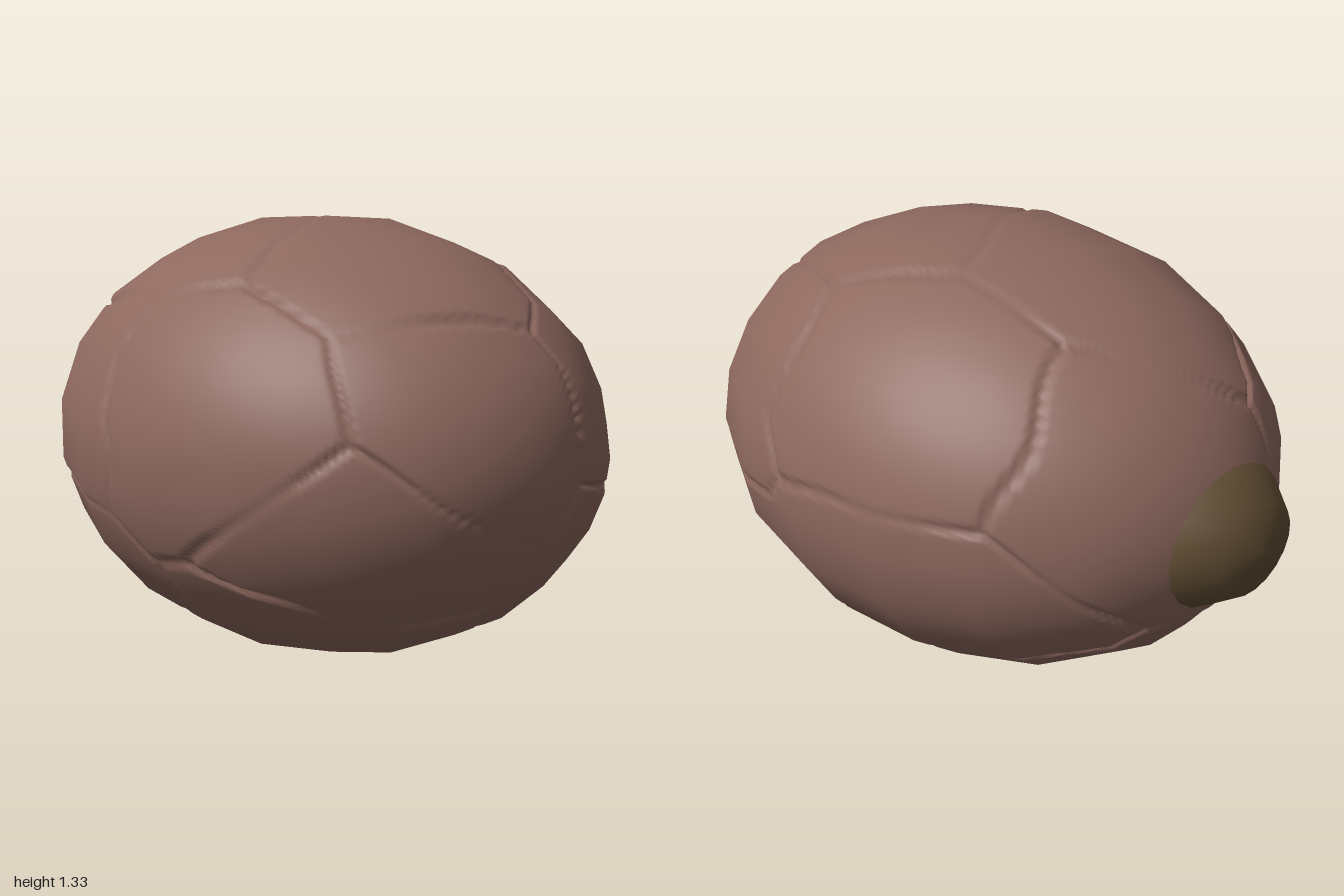
import * as THREE from 'three';

const CY = 0.67, ZS = 1.15, SIDES = 19, SUB = 16;
// Half profile of the shell: x, radius
const PROFILE = [[1, 0], [0.88, 0.32], [0.69, 0.49], [0.43, 0.61], [0.12, 0.667], [-0.2, 0.647],
  [-0.48, 0.557], [-0.71, 0.41], [-0.86, 0.222], [-0.9, 0]];

// Smooth ellipsoid the shell follows
const CENTRE = new THREE.Vector3(0.03, CY, 0), RADII = new THREE.Vector3(0.97, 0.667, 0.765);

// Directions of the plate middles; cracks run halfway between neighbours
const PLATES = [[-0.44, 0.22, 0.87], [0.32, 0.22, 0.9], [-0.44, -0.62, 0.65], [0.4, -0.8, 0.45],
  [0.76, -0.3, 0.55], [0.93, 0.25, 0.2], [-0.3, 0.92, 0.3], [0.45, 0.85, 0.05], [0.7, 0.35, -0.6],
  [0.65, -0.5, -0.6], [-0.25, 0.55, -0.8], [-0.4, -0.25, -0.88], [-0.82, 0.3, -0.4], [-0.3, -0.92, -0.2]
].map((d) => new THREE.Vector3(...d).normalize());

// Distance from a point on the unit sphere to the nearest crack, with a slight waver
function crackDistance(dir) {
  const p = dir.clone();
  p.x += 0.03 * Math.sin(dir.y * 9 + dir.z * 5);
  p.y += 0.03 * Math.sin(dir.z * 8 + dir.x * 6);
  const near = [...PLATES].sort((a, b) => a.distanceToSquared(p) - b.distanceToSquared(p));
  const gap = near[1].distanceToSquared(p) - near[0].distanceToSquared(p);
  return gap / (2 * near[0].distanceTo(near[1]));
}

// Faceted outline, softly shaded, with shallow grooves pressed in
function shellGeometry() {
  const cols = SIDES * SUB, rows = (PROFILE.length - 1) * SUB;
  const pos = [], index = [];
  for (let r = 0; r <= rows; r++) {
    const b = Math.min(Math.floor(r / SUB), PROFILE.length - 2), f = r / SUB - b;
    const x = THREE.MathUtils.lerp(PROFILE[b][0], PROFILE[b + 1][0], f);
    const rad = THREE.MathUtils.lerp(PROFILE[b][1], PROFILE[b + 1][1], f);
    for (let c = 0; c < cols; c++) {
      const s = Math.floor(c / SUB), g = c / SUB - s;
      const t0 = s / SIDES * Math.PI * 2, t1 = (s + 1) / SIDES * Math.PI * 2;
      pos.push(x, CY + rad * THREE.MathUtils.lerp(Math.sin(t0), Math.sin(t1), g),
        -rad * ZS * THREE.MathUtils.lerp(Math.cos(t0), Math.cos(t1), g));
      if (r < rows) {
        const a = r * cols + c, n = r * cols + (c + 1) % cols;
        if (r > 0) index.push(a, a + cols, n);
        if (r < rows - 1) index.push(n, a + cols, n + cols);
        else index.push(a, a + cols, n);
      }
    }
  }
  // The blunt end closes with single triangles, the tip opens with them
  for (let c = 0; c < cols; c++) index.push(c, cols + c, cols + (c + 1) % cols);

  const geo = new THREE.BufferGeometry();
  geo.setAttribute('position', new THREE.Float32BufferAttribute(pos, 3));
  geo.setIndex(index);
  geo.computeVertexNormals();
  const plain = geo.attributes.normal.clone(), P = geo.attributes.position;
  const p = new THREE.Vector3(), n = new THREE.Vector3(), m = new THREE.Vector3();
  const smooth = [];
  for (let i = 0; i < P.count; i++) {
    p.fromBufferAttribute(P, i);
    const dir = p.clone().sub(CENTRE).divide(RADII).normalize();
    const normal = dir.clone().divide(RADII).normalize();
    smooth.push(normal);
    // Grooves fade in and out along their length
    const depth = 0.012 + 0.007 * Math.sin(dir.x * 7 + dir.y * 5 - dir.z * 6);
    p.addScaledVector(normal, -depth * Math.max(0, 1 - crackDistance(dir) / 0.02));
    P.setXYZ(i, p.x, p.y, p.z);
  }
  // Smooth shading plus the tilt added by the grooves
  geo.computeVertexNormals();
  const N = geo.attributes.normal;
  for (let i = 0; i < P.count; i++) {
    n.fromBufferAttribute(N, i).sub(m.fromBufferAttribute(plain, i)).add(smooth[i]).normalize();
    N.setXYZ(i, n.x, n.y, n.z);
  }
  return geo;
}

export function createModel() {
  const model = new THREE.Group();
  model.name = 'crackedNut';

  const shell = new THREE.Mesh(shellGeometry(), new THREE.MeshStandardMaterial({ color: 0x8d685e }));
  shell.name = 'shell';
  model.add(shell);

  // Rounded stem cap on the narrow end
  const profile = [[0.2, 0.86], [0.215, 0.86], [0.137, 0.97], [0, 1]].map(([r, h]) => new THREE.Vector2(r, h));
  const capGeo = new THREE.LatheGeometry(profile, SIDES, Math.PI);
  capGeo.rotateZ(Math.PI / 2);
  capGeo.scale(1, 1, ZS);
  const cap = new THREE.Mesh(capGeo, new THREE.MeshStandardMaterial({ color: 0x624e34, side: THREE.DoubleSide }));
  cap.name = 'stemCap';
  cap.position.y = CY;
  model.add(cap);

  return model;
}
